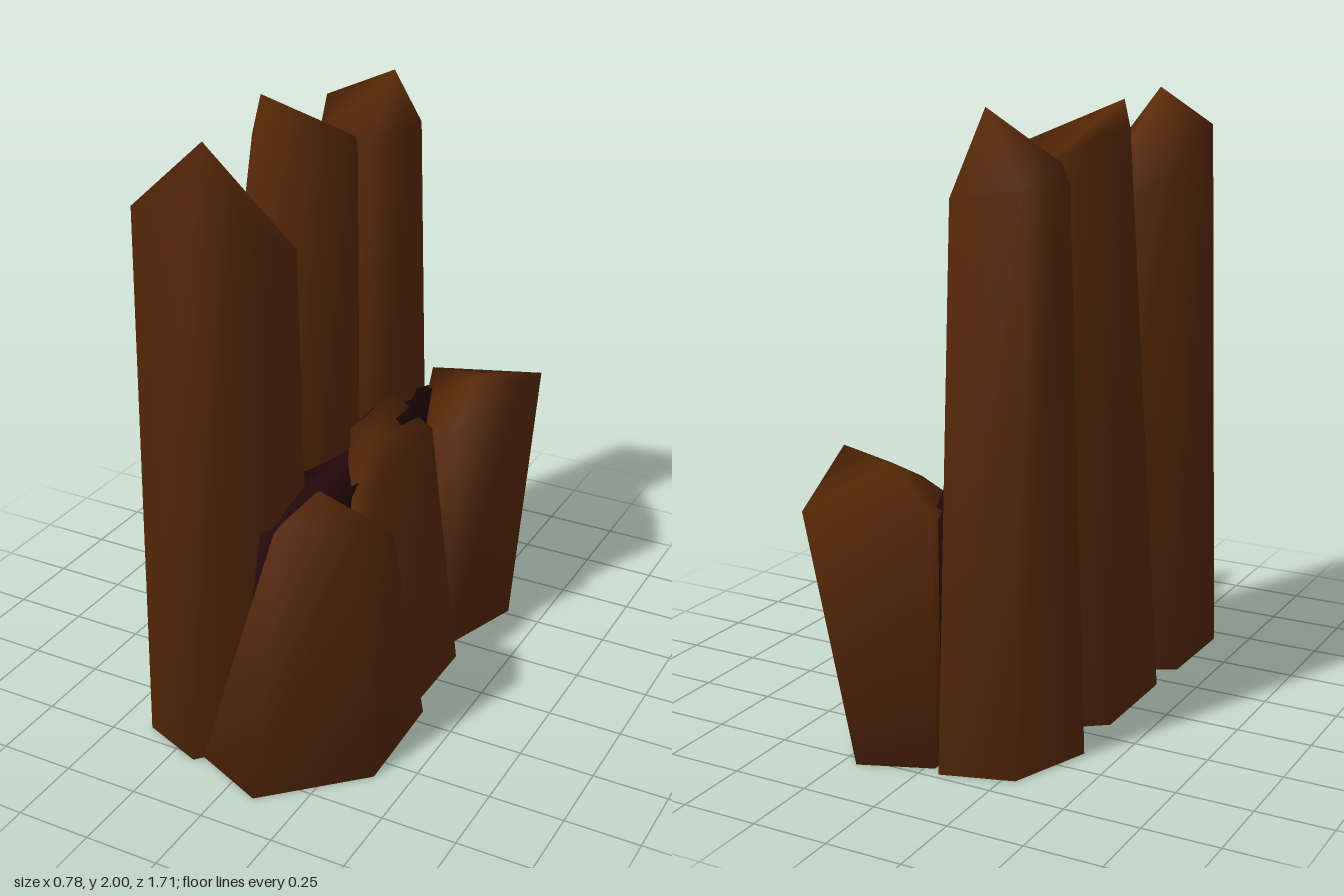
import * as THREE from 'three';

// Six-sided log: floor ring [x, z], top ring [x, y, z], carved tip [x, y, z].
// Rings run back, left, front, right; normals are smooth all over.
function logGeometry(base, top, tip, floor = 0) {
  const n = base.length;
  const pos = [];
  const index = [];
  base.forEach(([x, z]) => pos.push(x, floor, z));
  top.forEach(p => pos.push(...p));
  pos.push(...tip);
  for (let i = 0; i < n; i++) {
    const j = (i + 1) % n;
    index.push(i, j, n + j, i, n + j, n + i); // side
    index.push(n + i, n + j, 2 * n); // carved tip
    if (i > 0 && j > 0) index.push(j, i, 0); // underside
  }
  const geo = new THREE.BufferGeometry();
  geo.setAttribute('position', new THREE.Float32BufferAttribute(pos, 3));
  geo.setIndex(index);
  geo.computeVertexNormals();
  return geo;
}

export function createModel() {
  const group = new THREE.Group();
  const wood = new THREE.MeshStandardMaterial({ color: 0x5a2a08 });
  wood.name = 'brown wood';
  const shade = new THREE.MeshStandardMaterial({ color: 0x24070a });
  shade.name = 'dark core';

  const add = (name, material, ...rings) => {
    const mesh = new THREE.Mesh(logGeometry(...rings), material);
    mesh.name = name;
    group.add(mesh);
  };

  // Tall row
  add('tallLogBack', wood,
    [[-0.06, -0.73], [-0.29, -0.66], [-0.39, -0.39], [-0.30, -0.22], [-0.05, -0.24], [0.01, -0.47]],
    [[-0.075, 1.76, -0.65], [-0.29, 1.79, -0.60], [-0.355, 1.86, -0.49], [-0.28, 1.77, -0.29], [-0.08, 1.80, -0.28], [-0.02, 1.80, -0.45]],
    [-0.06, 2, -0.41]);
  add('tallLogMiddle', wood,
    [[-0.15, -0.32], [-0.37, -0.16], [-0.37, 0.21], [-0.20, 0.32], [-0.04, 0.25], [0.04, 0.01]],
    [[-0.15, 1.79, -0.31], [-0.29, 1.90, -0.11], [-0.28, 1.90, 0.13], [-0.20, 1.77, 0.31], [-0.06, 1.79, 0.20], [0.03, 1.86, 0.02]],
    [-0.30, 2, 0.04]);
  add('tallLogFront', wood,
    [[-0.08, 0.21], [-0.38, 0.36], [-0.385, 0.69], [-0.17, 0.775], [0.02, 0.54], [0.02, 0.33]],
    [[-0.10, 1.60, 0.23], [-0.34, 1.76, 0.40], [-0.30, 1.86, 0.765], [-0.13, 1.82, 0.71], [-0.02, 1.77, 0.54], [-0.03, 1.62, 0.30]],
    [-0.20, 2, 0.54]);

  // Short row
  add('shortLogBack', wood,
    [[0.20, -0.79], [-0.03, -0.70], [-0.03, -0.35], [0.10, -0.20], [0.27, -0.20], [0.375, -0.52]],
    [[0.33, 0.82, -0.85], [-0.04, 0.82, -0.71], [0.03, 0.78, -0.50], [0.13, 0.76, -0.33], [0.24, 0.80, -0.31], [0.39, 0.94, -0.53]],
    [0.21, 0.91, -0.54]);
  add('shortLogMiddle', wood,
    [[0.15, -0.28], [0.00, -0.20], [0.00, 0.20], [0.18, 0.28], [0.33, 0.22], [0.33, -0.16]],
    [[0.12, 0.85, -0.26], [0.00, 0.90, -0.31], [0.06, 0.96, 0.12], [0.13, 0.77, 0.25], [0.19, 0.82, 0.17], [0.19, 0.84, -0.22]],
    [0.11, 0.92, 0.06]);
  add('shortLogFront', wood,
    [[0.15, 0.20], [-0.10, 0.40], [-0.15, 0.745], [0.10, 0.855], [0.385, 0.58], [0.37, 0.19]],
    [[0.20, 0.72, 0.27], [0.08, 0.84, 0.38], [0.09, 0.87, 0.62], [0.11, 0.88, 0.71], [0.305, 0.84, 0.53], [0.28, 0.70, 0.25]],
    [0.165, 0.955, 0.53]);

  // Dark filling between the rows
  add('innerCore', shade,
    [[0.00, -0.62], [-0.12, -0.40], [-0.12, 0.50], [-0.06, 0.70], [0.12, 0.50], [0.12, -0.40]],
    [[-0.01, 0.78, -0.67], [-0.06, 0.84, -0.35], [-0.06, 0.82, 0.45], [-0.02, 0.78, 0.57], [0.13, 0.76, 0.45], [0.12, 0.91, -0.28]],
    [0.04, 0.85, 0.10], 0.03);

  return group;
}
